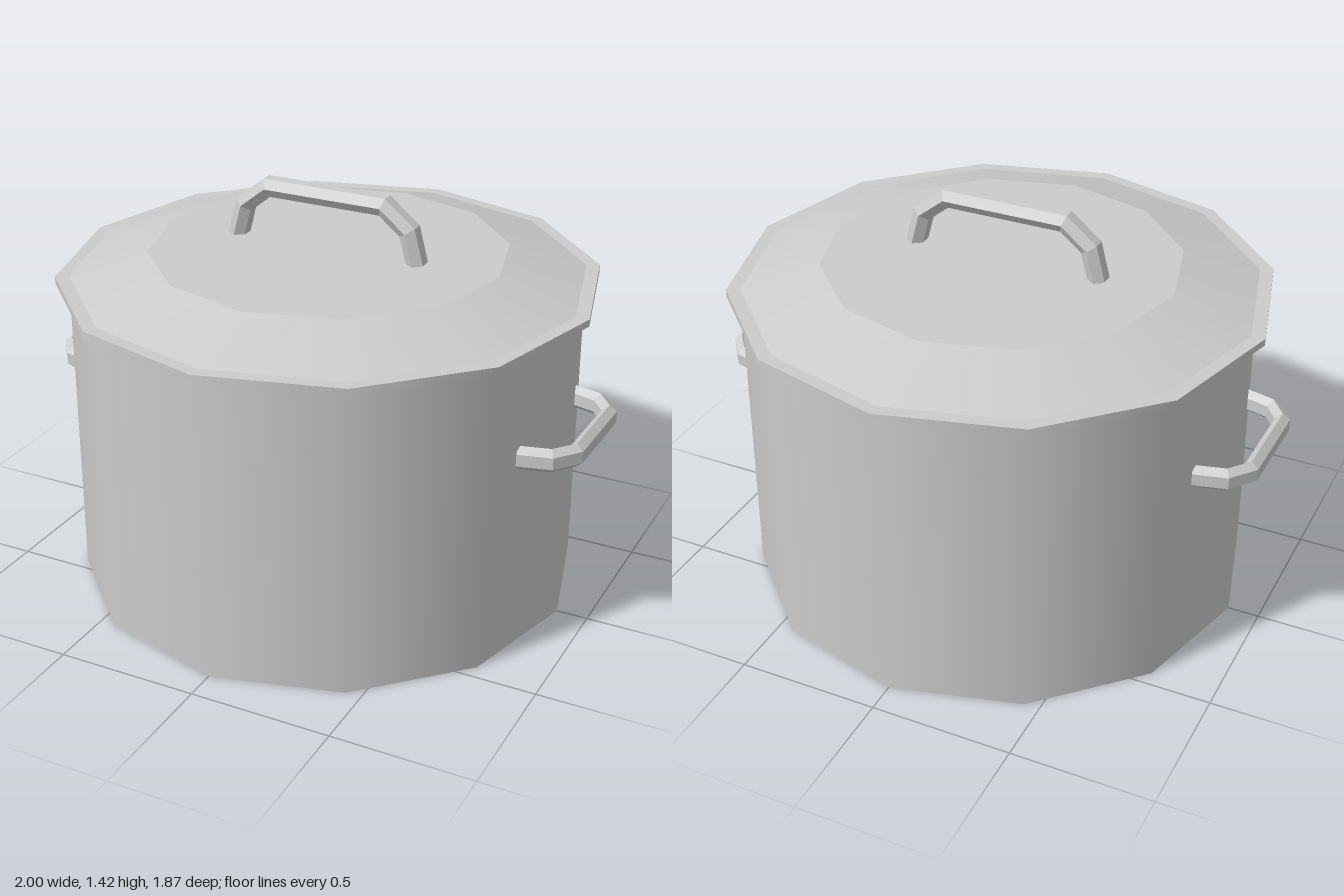
import * as THREE from 'three';

const SIDES = 12;
const smooth = new THREE.MeshStandardMaterial({ color: 0xcccccc });
const faceted = new THREE.MeshStandardMaterial({ color: 0xcccccc, flatShading: true });

// Twelve-sided drum between two heights
function drum(name, rTop, rBottom, y0, y1) {
  const mesh = new THREE.Mesh(new THREE.CylinderGeometry(rTop, rBottom, y1 - y0, SIDES), smooth);
  mesh.position.y = (y0 + y1) / 2;
  mesh.name = name;
  return mesh;
}

// Six-sided bar swept along a path in the xy plane, mitred at the corners
function barGeometry(path, halfThick, halfWidth) {
  const pts = path.map(([x, y]) => new THREE.Vector2(x, y));
  const section = [[1, 0.5], [0, 1], [-1, 0.5], [-1, -0.5], [0, -1], [1, -0.5]];
  const pos = [], index = [], n = section.length, last = pts.length - 1;
  pts.forEach((p, i) => {
    const before = p.clone().sub(pts[Math.max(i - 1, 0)]).normalize();
    const after = pts[Math.min(i + 1, last)].clone().sub(p).normalize();
    const t = before.clone().add(after).normalize();
    const mitre = halfThick / (i === 0 ? after : before).dot(t);
    for (const [u, v] of section) pos.push(p.x - t.y * u * mitre, p.y + t.x * u * mitre, v * halfWidth);
  });
  for (let i = 0; i < last; i++) {
    for (let j = 0; j < n; j++) {
      const a = i * n + j, b = i * n + (j + 1) % n;
      index.push(a, b, a + n, b, b + n, a + n);
    }
  }
  // End caps
  for (let j = 1; j < n - 1; j++) {
    index.push(0, j + 1, j, last * n, last * n + j, last * n + j + 1);
  }
  const geo = new THREE.BufferGeometry();
  geo.setAttribute('position', new THREE.Float32BufferAttribute(pos, 3));
  geo.setIndex(index);
  const flat = geo.toNonIndexed();
  flat.computeVertexNormals();
  return flat;
}

export function createModel() {
  const pot = new THREE.Group();
  pot.name = 'cookingPot';

  // Body and lid
  pot.add(drum('body', 0.89, 0.89, 0, 1.1));
  pot.add(drum('lidRim', 0.937, 0.937, 1.095, 1.12));
  pot.add(drum('lidDome', 0.62, 0.89, 1.12, 1.205));

  // Arched handle on the lid
  const lidHandle = new THREE.Mesh(barGeometry([
    [0.34, 1.2], [0.31, 1.315], [0.217, 1.39],
    [-0.217, 1.39], [-0.31, 1.315], [-0.34, 1.2],
  ], 0.031, 0.042), faceted);
  lidHandle.position.x = -0.013;
  lidHandle.name = 'lidHandle';
  pot.add(lidHandle);

  // Side handles, slightly tilted
  const sideGeo = barGeometry([
    [0.81, -0.268], [0.917, -0.24], [0.975, -0.163],
    [0.975, 0.163], [0.917, 0.24], [0.81, 0.268],
  ], 0.025, 0.042).rotateX(Math.PI / 2);
  [['leftHandle', 0], ['rightHandle', Math.PI]].forEach(([name, angle]) => {
    const pivot = new THREE.Group();
    pivot.name = name;
    pivot.rotation.y = angle;
    const bar = new THREE.Mesh(sideGeo, faceted);
    bar.name = name + 'Bar';
    bar.position.y = 0.71;
    bar.rotation.x = -0.02;
    pivot.add(bar);
    pot.add(pivot);
  });

  return pot;
}
